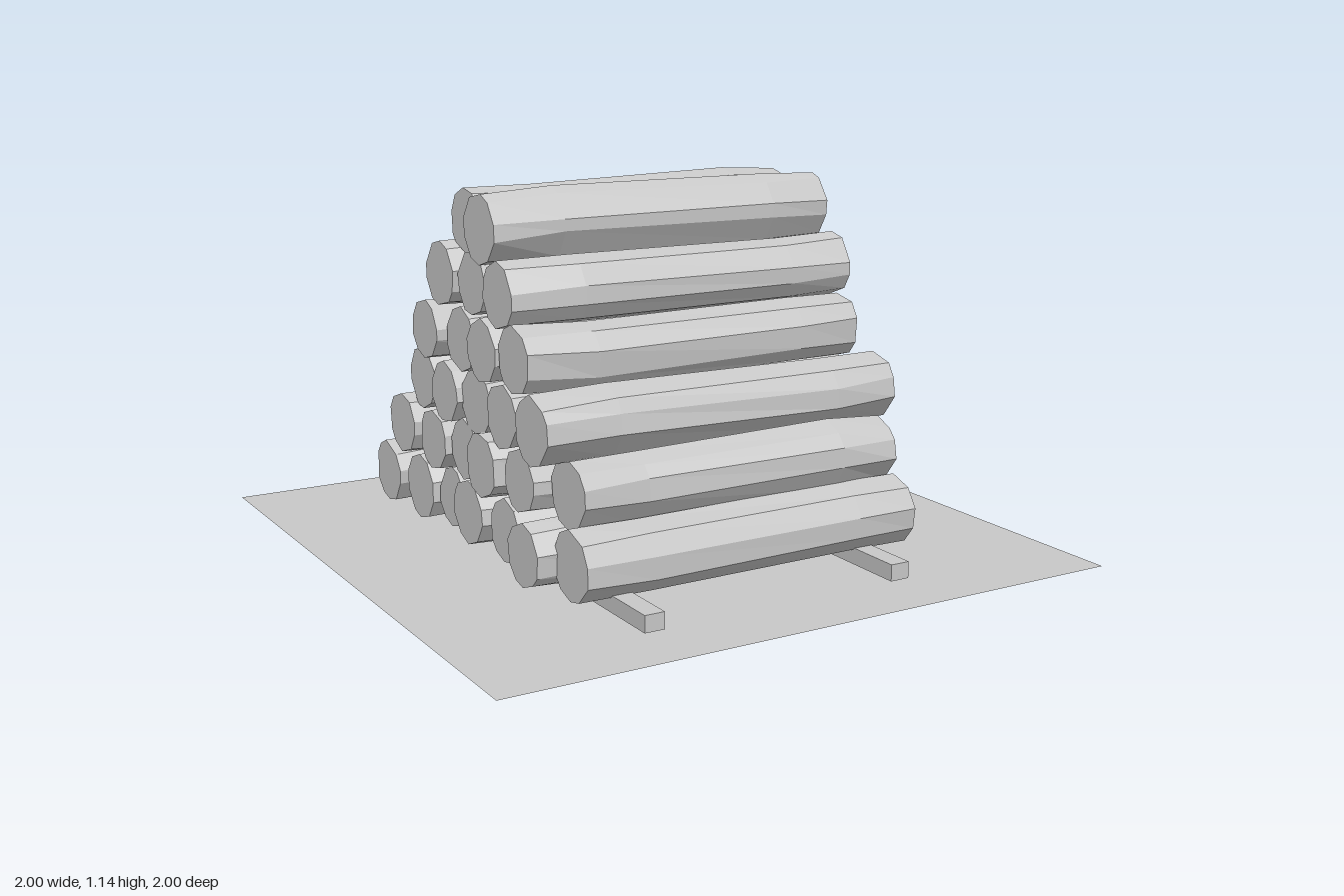
import * as THREE from 'three';

// Rows from the bottom up: height, then logs as [z, radius, left end x, right end x]
const ROWS = [
  [0.153, [[0.607, 0.104, -0.59, 0.52], [0.441, 0.097, -0.65, 0.57], [0.233, 0.098, -0.6, 0.53], [0.024, 0.103, -0.62, 0.55],
    [-0.142, 0.097, -0.6, 0.53], [-0.345, 0.105, -0.62, 0.55], [-0.564, 0.1, -0.64, 0.55]]],
  [0.328, [[0.532, 0.104, -0.555, 0.5], [0.34, 0.096, -0.61, 0.52], [0.142, 0.1, -0.63, 0.52], [-0.04, 0.096, -0.6, 0.51],
    [-0.238, 0.098, -0.62, 0.52], [-0.452, 0.1, -0.63, 0.515]]],
  [0.5, [[0.441, 0.104, -0.62, 0.56], [0.233, 0.098, -0.61, 0.53], [0.04, 0.102, -0.6, 0.54], [-0.147, 0.096, -0.62, 0.52],
    [-0.345, 0.099, -0.6, 0.45]]],
  [0.676, [[0.334, 0.1, -0.62, 0.5], [0.147, 0.097, -0.63, 0.555], [-0.04, 0.1, -0.61, 0.53], [-0.238, 0.094, -0.64, 0.55]]],
  [0.852, [[0.249, 0.099, -0.62, 0.53], [0.05, 0.097, -0.61, 0.55], [-0.158, 0.103, -0.62, 0.57]]],
  [1.025, [[0.131, 0.105, -0.62, 0.52], [-0.056, 0.1, -0.575, 0.52]]],
];
const SIDES = 10;

function seeded(seed) {
  return () => {
    seed = (seed * 16807) % 2147483647;
    return seed / 2147483647 - 0.5;
  };
}

// Faceted log along x: four uneven rings with a slight bend, closed by flat ends
function logGeometry(radius, x0, x1, rand) {
  const angles = Array.from({ length: SIDES }, (_, i) => ((i + rand() * 0.5) / SIDES) * Math.PI * 2);
  const rings = [0, 0.2, 0.82, 1].map((t, r) => {
    const end = r === 0 || r === 3;
    const cy = r === 3 ? 0 : rand() * 0.012;
    const cz = r === 3 ? 0 : rand() * 0.02 - (r === 0 ? 0.004 : 0);
    return angles.map((a) => {
      const angle = a + rand() * 0.12;
      const rad = radius * ((end ? 0.98 : 1.01) + rand() * 0.07);
      return [x0 + (x1 - x0) * t, cy + Math.cos(angle) * rad, cz + Math.sin(angle) * rad];
    });
  });
  const p = [];
  const tri = (a, b, c) => p.push(...a, ...b, ...c);
  for (let i = 0; i < SIDES; i++) {
    const j = (i + 1) % SIDES;
    for (let r = 0; r < 3; r++) {
      const [a, b, c, d] = [rings[r][i], rings[r][j], rings[r + 1][j], rings[r + 1][i]];
      tri(a, b, c);
      tri(a, c, d);
    }
    if (i > 0 && j > 0) {
      tri(rings[0][0], rings[0][j], rings[0][i]);
      tri(rings[3][0], rings[3][i], rings[3][j]);
    }
  }
  const g = new THREE.BufferGeometry();
  g.setAttribute('position', new THREE.Float32BufferAttribute(p, 3));
  g.computeVertexNormals();
  return g;
}

export function createModel() {
  const model = new THREE.Group();
  model.name = 'logPile';
  const grey = new THREE.MeshStandardMaterial({ color: 0xc8c8c8, side: THREE.DoubleSide });
  grey.name = 'plain grey';

  // Ground sheet
  const ground = new THREE.Mesh(new THREE.PlaneGeometry(2, 2).rotateX(-Math.PI / 2), grey);
  ground.name = 'ground';
  model.add(ground);

  // Two runners that carry the pile
  for (const x of [-0.46, 0.36]) {
    const runner = new THREE.Mesh(new THREE.BoxGeometry(0.062, 0.05, 1.612), grey);
    runner.name = 'runner';
    runner.position.set(x, 0.047, 0.036);
    model.add(runner);
  }

  // Stacked logs
  const rand = seeded(4711);
  ROWS.forEach(([y, logs], i) => {
    const row = new THREE.Group();
    row.name = `logRow${i + 1}`;
    for (const [z, radius, x0, x1] of logs) {
      const log = new THREE.Mesh(logGeometry(radius, x0, x1, rand), grey);
      log.name = 'log';
      log.position.set(0, y, z);
      row.add(log);
    }
    model.add(row);
  });
  return model;
}
